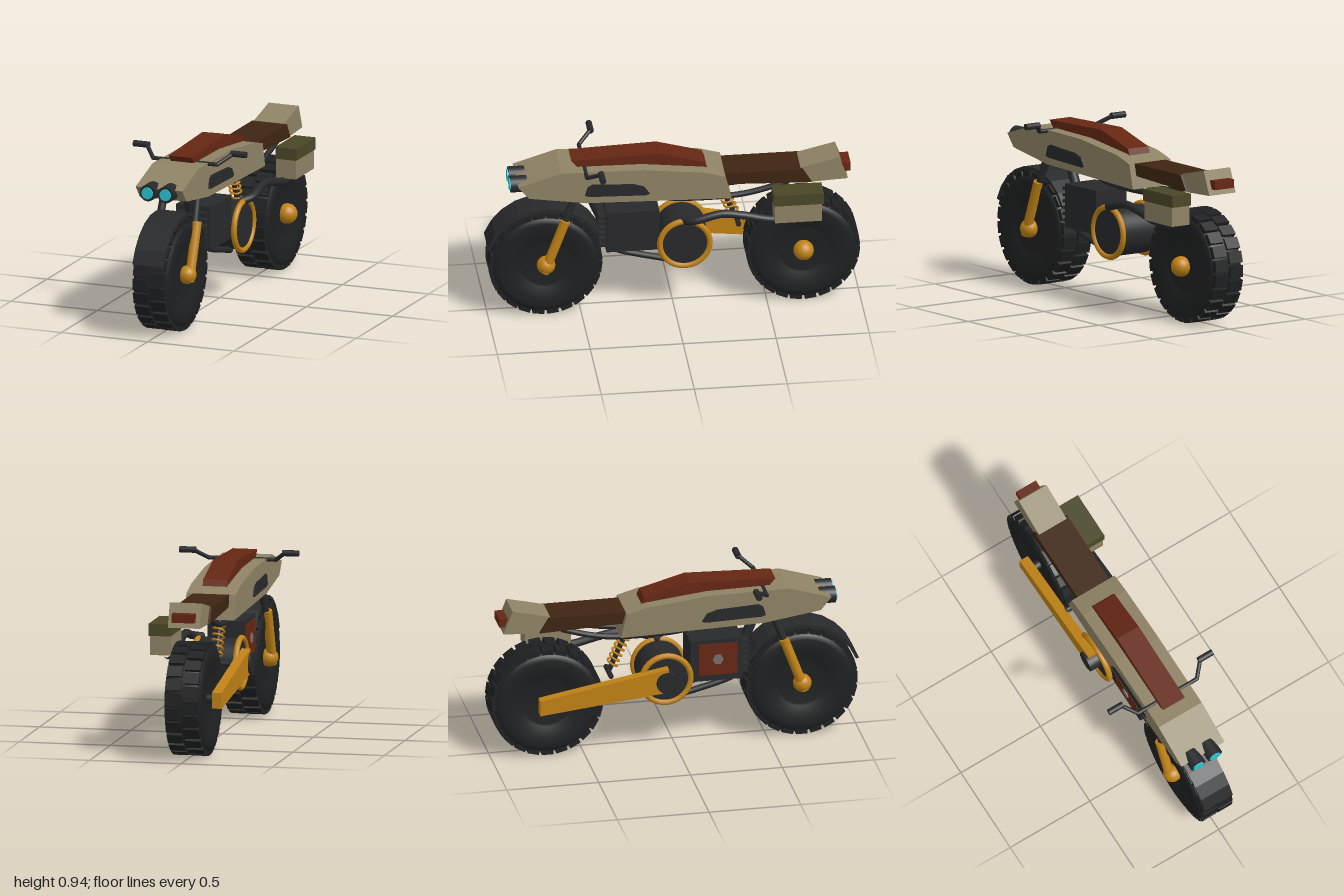
import * as THREE from 'three';

const mat = (name, color) => {
  const m = new THREE.MeshStandardMaterial({ color });
  m.name = name;
  return m;
};
const V = (x, y, z) => new THREE.Vector3(x, y, z);

export function createModel() {
  const bike = new THREE.Group();
  bike.name = 'motorcycle';
  const tan = mat('tan paint', 0x8f8365), orange = mat('orange metal', 0xc08215),
    red = mat('rust red', 0x652613), brown = mat('brown leather', 0x3f2411),
    olive = mat('olive lid', 0x4a4727), black = mat('black metal', 0x28292b),
    rubber = mat('rubber', 0x1f2021), cyan = mat('cyan lens', 0x28c8d4), grey = mat('grey bolt', 0x77716a);

  const add = (name, geo, m, parent = bike) => {
    const mesh = new THREE.Mesh(geo, m);
    mesh.name = name;
    parent.add(mesh);
    return mesh;
  };
  // box given by its limits
  const box = (name, m, x0, x1, y0, y1, z0, z1) => {
    const b = add(name, new THREE.BoxGeometry(x1 - x0, y1 - y0, z1 - z0), m);
    b.position.set((x0 + x1) / 2, (y0 + y1) / 2, (z0 + z1) / 2);
    return b;
  };
  // side profile of [z, y] points, extruded from x0 to x1
  const slab = (name, m, pts, x0, x1) => {
    const shape = new THREE.Shape(pts.map(p => new THREE.Vector2(...p)));
    const geo = new THREE.ExtrudeGeometry(shape, { depth: x1 - x0, bevelEnabled: false });
    return add(name, geo.rotateY(-Math.PI / 2).translate(x1, 0, 0), m);
  };
  // straight round bar between two points
  const bar = (name, m, a, b, r, sides = 20) => {
    const d = b.clone().sub(a);
    const mesh = add(name, new THREE.CylinderGeometry(r, r, d.length(), sides), m);
    mesh.position.copy(a).addScaledVector(d, 0.5);
    mesh.quaternion.setFromUnitVectors(V(0, 1, 0), d.normalize());
    return mesh;
  };
  const pipe = (name, m, pts, r) =>
    add(name, new THREE.TubeGeometry(new THREE.CatmullRomCurve3(pts, false, 'centripetal'), 40, r, 12), m);

  // wheels: turned tyre with two staggered rows of tread blocks
  const profile = [[0, -0.075], [0.13, -0.08], [0.14, -0.088], [0.2, -0.102], [0.25, -0.103], [0.275, -0.095],
    [0.287, -0.08], [0.29, 0], [0.287, 0.08], [0.275, 0.095], [0.25, 0.103], [0.2, 0.102], [0.14, 0.088],
    [0.13, 0.08], [0, 0.075]].map(p => new THREE.Vector2(...p));
  const blockCount = 24;
  for (const [name, z] of [['frontWheel', 0.69], ['rearWheel', -0.695]]) {
    const wheel = new THREE.Group();
    wheel.name = name;
    wheel.position.set(0, 0.305, z);
    bike.add(wheel);
    add('tyre', new THREE.LatheGeometry(profile, 48).rotateZ(-Math.PI / 2), rubber, wheel);
    for (const side of [-1, 1]) for (let i = 0; i < blockCount; i++) {
      const a = (i + (side > 0 ? 0.5 : 0)) / blockCount * Math.PI * 2;
      const block = new THREE.BoxGeometry(0.085, 0.03, 0.062).translate(side * 0.0475, 0.289, 0);
      add('treadBlock', block.rotateX(a), rubber, wheel);
    }
  }

  // hubs and axles
  for (const [x, z, r] of [[0.1, 0.69, 0.05], [-0.1, 0.69, 0.05], [0.1, -0.695, 0.055]])
    add('hub', new THREE.SphereGeometry(r, 24, 16), orange).position.set(x, 0.305, z);
  bar('rearAxle', black, V(-0.12, 0.305, -0.695), V(0.1, 0.305, -0.695), 0.025);

  // front fender
  const fender = new THREE.Shape();
  const from = 20 * Math.PI / 180, to = 152 * Math.PI / 180, steps = 9;
  for (let i = 0; i <= steps; i++) {
    const a = from + (to - from) * i / steps;
    fender[i ? 'lineTo' : 'moveTo'](0.69 + 0.332 * Math.cos(a), 0.305 + 0.332 * Math.sin(a));
  }
  for (let i = steps; i >= 0; i--) {
    const a = from + (to - from) * i / steps;
    fender.lineTo(0.69 + 0.315 * Math.cos(a), 0.305 + 0.315 * Math.sin(a));
  }
  slab('frontFender', black, fender.getPoints(), -0.088, 0.088);

  // forks, handlebar, headlights and side vents, mirrored
  const vent = [[0.485, 0.735], [0.47, 0.785], [0.445, 0.8], [0.22, 0.788], [0.165, 0.77],
    [0.135, 0.725], [0.16, 0.718], [0.46, 0.727]];
  for (const s of [-1, 1]) {
    bar('forkLower', orange, V(s * 0.116, 0.27, 0.70), V(s * 0.114, 0.575, 0.587), 0.026);
    bar('forkUpper', black, V(s * 0.105, 0.5, 0.615), V(s * 0.096, 0.695, 0.54), 0.021);
    bar('handlebarRise', black, V(s * 0.185, 0.87, 0.48), V(s * 0.25, 0.92, 0.41), 0.011);
    add('handlebarJoint', new THREE.SphereGeometry(0.011, 12, 8), black).position.set(s * 0.185, 0.87, 0.48);
    bar('grip', black, V(s * 0.237, 0.92, 0.41), V(s * 0.326, 0.92, 0.41), 0.017);
    bar('headlightShell', black, V(s * 0.052, 0.785, 0.79), V(s * 0.052, 0.785, 0.877), 0.045, 28);
    bar('headlightLens', cyan, V(s * 0.052, 0.785, 0.87), V(s * 0.052, 0.785, 0.884), 0.032, 28);
    slab('sideVent', black, vent, s * 0.137 - 0.003, s * 0.137 + 0.003);
  }
  bar('handlebar', black, V(-0.185, 0.87, 0.48), V(0.185, 0.87, 0.48), 0.011);

  // bodywork
  slab('tankBody', tan, [[0.842, 0.805], [0.61, 0.877], [0.17, 0.87], [-0.16, 0.832], [-0.272, 0.8],
    [-0.305, 0.667], [0.48, 0.688], [0.785, 0.735]], -0.135, 0.135);
  slab('tankTop', red, [[0.55, 0.912], [0.08, 0.928], [-0.165, 0.86], [-0.18, 0.825], [0.17, 0.865], [0.51, 0.865]],
    -0.067, 0.067);
  slab('seat', brown, [[-0.26, 0.8], [-0.69, 0.8], [-0.74, 0.717], [-0.28, 0.735]], -0.1, 0.1);
  slab('tail', tan, [[-0.68, 0.803], [-0.885, 0.852], [-0.935, 0.722], [-0.735, 0.713]], -0.087, 0.087);
  box('tailLight', red, -0.062, 0.062, 0.753, 0.8, -0.953, -0.9);

  // luggage box
  box('luggageBox', tan, 0.105, 0.22, 0.545, 0.652, -0.78, -0.528);
  box('luggageLid', olive, 0.103, 0.225, 0.65, 0.715, -0.79, -0.522);

  // engine block with cooling fins and side plate
  box('engineBlock', black, -0.1, 0.1, 0.36, 0.597, 0.08, 0.365);
  for (let i = 0; i < 6; i++) {
    const y = 0.385 + i * 0.034;
    box('coolingFin', black, -0.085, 0.085, y, y + 0.016, 0.36, 0.405);
  }
  box('enginePlate', red, -0.106, -0.098, 0.395, 0.575, 0.125, 0.335);
  bar('plateBolt', grey, V(-0.098, 0.485, 0.23), V(-0.112, 0.485, 0.23), 0.03, 6);

  // crankcase with rings
  bar('crankcase', black, V(-0.118, 0.397, -0.055), V(0.118, 0.397, -0.055), 0.132, 36);
  for (const x of [-0.115, 0.115])
    add('crankcaseRing', new THREE.TorusGeometry(0.134, 0.016, 10, 40).rotateY(Math.PI / 2), orange)
      .position.set(x, 0.397, -0.055);

  // swingarm and pivot
  slab('swingarm', orange, [[-0.05, 0.475], [-0.75, 0.348], [-0.75, 0.262], [-0.05, 0.34]], -0.166, -0.113);
  bar('swingarmPivot', black, V(-0.1, 0.397, -0.06), V(-0.18, 0.397, -0.06), 0.0575, 28);

  // frame tubes
  bar('downTube', black, V(0, 0.69, 0.455), V(0, 0.48, 0.365), 0.027);
  for (const s of [-1, 1]) {
    pipe('lowerRail', black, [V(s * 0.06, 0.375, 0.35), V(s * 0.06, 0.345, 0.28), V(s * 0.06, 0.27, 0)], 0.017);
    pipe('subframeRail', black, [V(s * 0.07, 0.685, 0.15), V(s * 0.07, 0.655, 0.02), V(s * 0.07, 0.65, -0.32),
      V(s * 0.07, 0.672, -0.46), V(s * 0.07, 0.72, -0.62)], 0.016);
  }

  // exhaust
  pipe('exhaust', black, [V(0.1, 0.53, -0.04), V(0.142, 0.545, -0.1), V(0.145, 0.58, -0.25), V(0.145, 0.565, -0.36),
    V(0.145, 0.53, -0.52), V(0.14, 0.53, -0.68), V(0.13, 0.555, -0.77)], 0.022);

  // rear shock: core and coil spring
  const top = V(-0.045, 0.68, -0.25), low = V(-0.045, 0.44, -0.355);
  bar('shockCore', black, top, low, 0.014);
  bar('shockMount', black, V(-0.12, 0.44, -0.355), V(0.02, 0.44, -0.355), 0.014);
  const coil = [], turns = 6, length = 0.19;
  for (let i = 0; i <= turns * 12; i++) {
    const a = i / 12 * Math.PI * 2;
    coil.push(V(0.03 * Math.cos(a), (i / (turns * 12) - 0.5) * length, 0.03 * Math.sin(a)));
  }
  const spring = add('shockSpring',
    new THREE.TubeGeometry(new THREE.CatmullRomCurve3(coil), 160, 0.006, 6), orange);
  spring.position.copy(top).lerp(low, 0.5);
  spring.quaternion.setFromUnitVectors(V(0, 1, 0), top.clone().sub(low).normalize());

  return bike;
}
